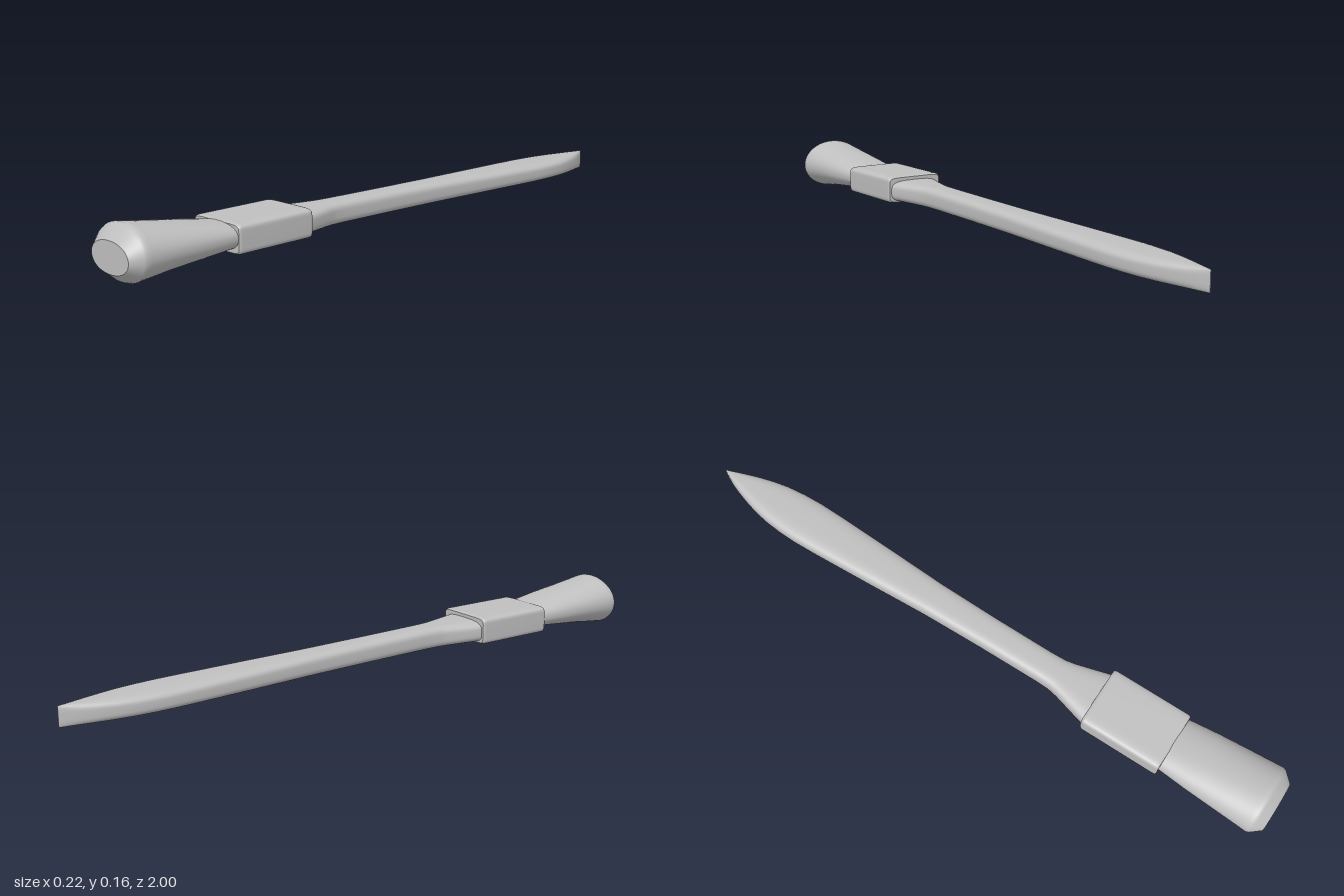
import * as THREE from 'three';

const SEGMENTS = 56;
const CENTER_X = -0.003;

// Lofts superellipse sections [z, halfWidth, yBottom, yTop, exponent], ordered by rising z.
function loft(sections) {
  const positions = [];
  const indices = [];
  const ring = ([z, w, y0, y1, n]) => {
    for (let j = 0; j < SEGMENTS; j++) {
      const t = (j / SEGMENTS) * Math.PI * 2;
      const c = Math.cos(t), s = Math.sin(t);
      positions.push(
        w * Math.sign(c) * Math.abs(c) ** (2 / n),
        (y0 + y1) / 2 + ((y1 - y0) / 2) * Math.sign(s) * Math.abs(s) ** (2 / n),
        z
      );
    }
  };
  sections.forEach(ring);
  for (let i = 0; i < sections.length - 1; i++) {
    for (let j = 0; j < SEGMENTS; j++) {
      const k = (j + 1) % SEGMENTS;
      const a = i * SEGMENTS + j, b = i * SEGMENTS + k;
      indices.push(a, b, a + SEGMENTS, b, b + SEGMENTS, a + SEGMENTS);
    }
  }
  // Flat end caps with their own vertices, so the rims stay sharp
  for (const [section, front] of [[sections[0], false], [sections[sections.length - 1], true]]) {
    const base = positions.length / 3;
    ring(section);
    positions.push(0, (section[2] + section[3]) / 2, section[0]);
    for (let j = 0; j < SEGMENTS; j++) {
      const a = base + j, b = base + ((j + 1) % SEGMENTS);
      indices.push(base + SEGMENTS, front ? a : b, front ? b : a);
    }
  }
  const geometry = new THREE.BufferGeometry();
  geometry.setAttribute('position', new THREE.Float32BufferAttribute(positions, 3));
  geometry.setIndex(indices);
  geometry.computeVertexNormals();
  return geometry;
}

export function createModel() {
  const group = new THREE.Group();
  group.name = 'paintbrush';
  const grey = new THREE.MeshStandardMaterial({ color: 0xbfbfbf });
  grey.name = 'grey';

  const add = (name, sections, x) => {
    const mesh = new THREE.Mesh(loft(sections), grey);
    mesh.name = name;
    mesh.position.x = x;
    group.add(mesh);
  };

  // Handle: flat paddle that tapers to a vertical edge at the back
  const outline = [
    [-1, 0.001], [-0.97, 0.016], [-0.94, 0.028], [-0.9, 0.042], [-0.85, 0.056],
    [-0.8, 0.066], [-0.74, 0.072], [-0.68, 0.074], [-0.6, 0.072], [-0.4, 0.063],
    [-0.2, 0.053], [0, 0.049], [0.2, 0.048], [0.25, 0.05], [0.28, 0.056],
    [0.34, 0.073], [0.4, 0.09],
  ];
  add('handle', outline.map(([z, w]) => {
    const t = (z + 1) / 1.4;
    return [z, w, 0.013 + 0.017 * t, 0.074 + 0.025 * t, 3.5];
  }), CENTER_X);

  // Ferrule: rounded rectangular sleeve with softened ends
  add('ferrule', [
    [0.39, 0.094, 0.03, 0.109, 8],
    [0.394, 0.097, 0.027, 0.112, 8],
    [0.4, 0.098, 0.026, 0.113, 8],
    [0.645, 0.098, 0.026, 0.113, 8],
    [0.651, 0.097, 0.027, 0.112, 8],
    [0.655, 0.094, 0.03, 0.109, 8],
  ], CENTER_X);

  // Bristles: flaring oval tuft with a bevelled, flat front
  add('bristles', [
    [0.64, 0.088, 0.035, 0.108, 2.4],
    [0.75, 0.098, 0.024, 0.127, 2.25],
    [0.86, 0.105, 0.013, 0.144, 2.1],
    [0.945, 0.11, 0.002, 0.158, 2.05],
    [0.96, 0.111, 0, 0.16, 2.05],
    [0.97, 0.107, 0.004, 0.153, 2.05],
    [1, 0.081, 0.029, 0.118, 2.1],
  ], 0);

  return group;
}
